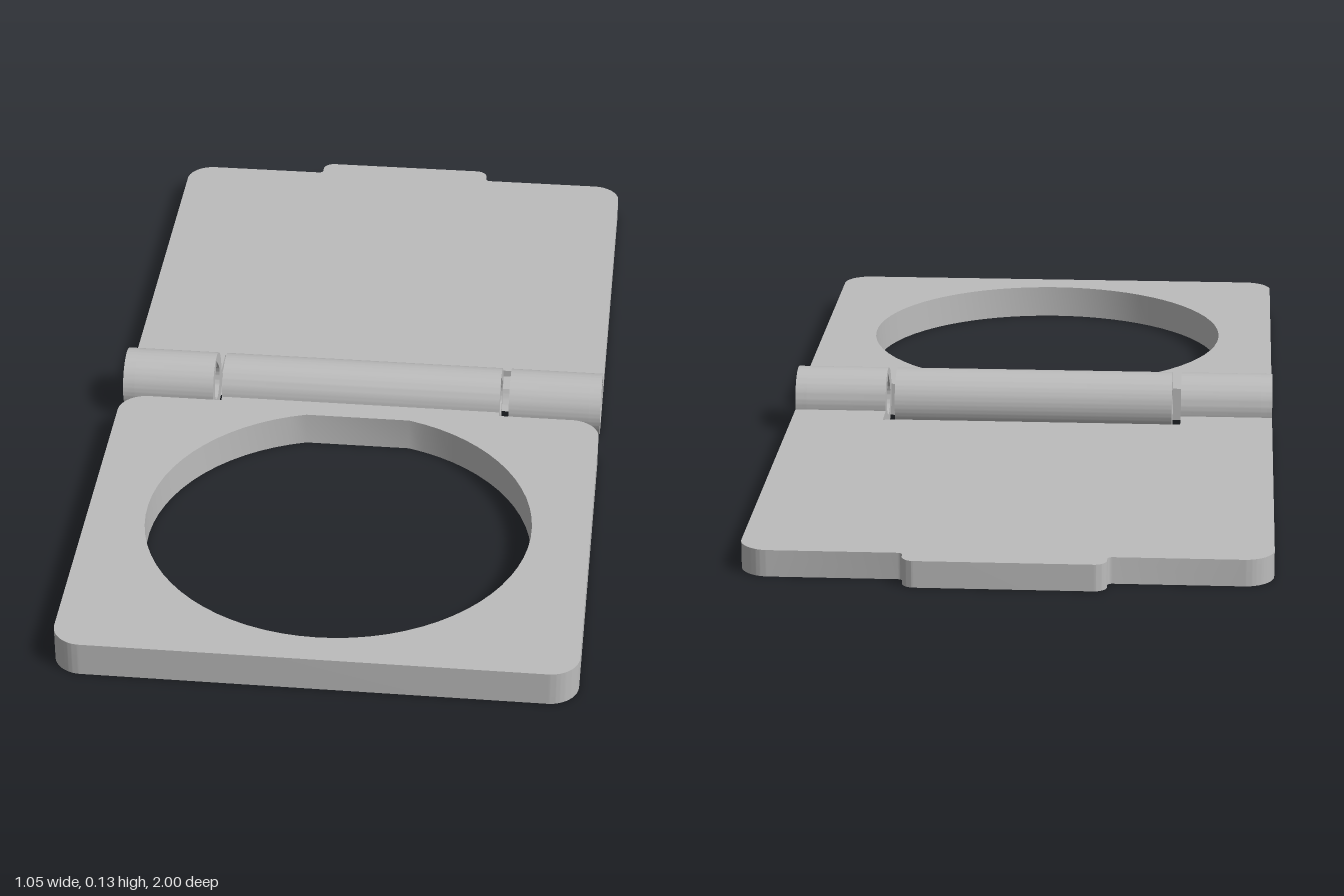
import * as THREE from 'three';
import { toCreasedNormals } from 'three/addons/utils/BufferGeometryUtils.js';

const AXIS_Z = 0.02, R = 0.0665;          // hinge axis (also its height) and barrel radius
const FRONT_H = 0.073, BACK_H = 0.055;    // plate thicknesses
const HALF_W = 0.525, SEAM_Z = 0.11;      // plate half width, rear plate's start behind the barrel

// Closed outline from corners [x, y, radius]
function roundedShape(corners) {
  const shape = new THREE.Shape();
  const n = corners.length;
  corners.forEach(([x, y, r = 0], i) => {
    const c = new THREE.Vector2(x, y);
    const toward = (q) => new THREE.Vector2(q[0], q[1]).sub(c).setLength(r).add(c);
    const a = r ? toward(corners[(i + n - 1) % n]) : c;
    const b = r ? toward(corners[(i + 1) % n]) : c;
    if (i === 0) shape.moveTo(a.x, a.y); else shape.lineTo(a.x, a.y);
    if (r) {
      const k = 0.5523, p = a.clone().lerp(c, k), q = b.clone().lerp(c, k);
      shape.bezierCurveTo(p.x, p.y, q.x, q.y, b.x, b.y);
    }
  });
  shape.closePath();
  return shape;
}

// Barrel profile with a web reaching out to the plate; side -1 = front, +1 = back
function knuckleShape(side, reach, height, hole) {
  const pts = [[reach, 0], [0, 0]];
  const end = Math.PI - Math.asin((height - R) / R);
  for (let i = 1; i <= 64; i++) {
    const a = -Math.PI / 2 + (end + Math.PI / 2) * i / 64;
    pts.push([-R * Math.cos(a), R + R * Math.sin(a)]);
  }
  pts.push([reach, height]);
  const shape = new THREE.Shape(pts.map(([u, y]) => new THREE.Vector2(-AXIS_Z + side * u, y)));
  shape.holes.push(hole);
  return shape;
}

// Pin bore with a pointed roof
function teardropHole(r) {
  const path = new THREE.Path();
  path.absarc(-AXIS_Z, R, r, Math.PI * 0.75, Math.PI * 2.25, false);
  path.lineTo(-AXIS_Z, R + r * Math.SQRT2);
  path.closePath();
  return path;
}

function roundHole(r) {
  const path = new THREE.Path();
  path.absarc(-AXIS_Z, R, r, 0, Math.PI * 2, false);
  return path;
}

export function createModel() {
  const model = new THREE.Group();
  model.name = 'hingedPlates';
  const grey = new THREE.MeshStandardMaterial({ color: 0xbcbcbc });
  grey.name = 'grey';

  const extrude = (shape, depth) =>
    new THREE.ExtrudeGeometry(shape, { depth, bevelEnabled: false, curveSegments: 32 });
  const add = (name, geo, parent) => {
    const mesh = new THREE.Mesh(toCreasedNormals(geo, 0.4), grey);
    mesh.name = name;
    parent.add(mesh);
  };
  // Outline (x, -z) raised from the ground
  const plate = (name, shape, height, parent) =>
    add(name, extrude(shape, height).rotateX(-Math.PI / 2), parent);
  // Profile (-z, y) swept along x
  const sweep = (name, shape, x0, x1, parent) =>
    add(name, extrude(shape, x1 - x0).rotateY(Math.PI / 2).translate(x0, 0, 0), parent);

  const front = new THREE.Group();
  front.name = 'frontLeaf';
  const back = new THREE.Group();
  back.name = 'rearLeaf';
  model.add(front, back);

  // Front plate with a large round opening, cut flat next to the hinge
  const frame = roundedShape([
    [-HALF_W, -1, 0.06], [HALF_W, -1, 0.06], [HALF_W, -0.1, 0.06], [-HALF_W, -0.1, 0.06],
  ]);
  const opening = new THREE.Path();
  const flat = Math.asin(0.387 / 0.403);
  opening.absarc(0, -0.525, 0.403, Math.PI - flat, Math.PI * 2 + flat, false);
  opening.closePath();
  frame.holes.push(opening);
  plate('framePlate', frame, FRONT_H, front);

  // Middle knuckle
  sweep('middleKnuckle', knuckleShape(-1, 0.08, FRONT_H, teardropHole(0.0385)), -0.305, 0.305, front);

  // Rear plate with a finger tab
  const e = 0.955;
  plate('lidPlate', roundedShape([
    [-HALF_W, SEAM_Z], [HALF_W, SEAM_Z], [HALF_W, e, 0.06], [0.2, e, 0.01], [0.2, 1, 0.025],
    [-0.2, 1, 0.025], [-0.2, e, 0.01], [-HALF_W, e, 0.06],
  ]), BACK_H, back);

  // Lowered shelf, hollowed to clear the middle knuckle
  const shelfH = 0.04, clear = 0.083;
  const shelf = [[SEAM_Z, shelfH], [SEAM_Z, 0]];
  const a0 = Math.asin(-R / clear), a1 = Math.asin((shelfH - R) / clear);
  for (let i = 0; i <= 12; i++) {
    const a = a0 + (a1 - a0) * i / 12;
    shelf.push([-AXIS_Z + clear * Math.cos(a), R + clear * Math.sin(a)]);
  }
  sweep('clearanceShelf', new THREE.Shape(shelf.map((p) => new THREE.Vector2(...p))), -0.325, 0.325, back);

  // Outer knuckles, each with a counterbored end
  const reach = SEAM_Z + AXIS_Z;
  const bore = knuckleShape(1, reach, BACK_H, teardropHole(0.0385));
  const rim = knuckleShape(1, reach, BACK_H, roundHole(0.054));
  sweep('leftKnuckle', bore, 0.325, 0.5, back);
  sweep('leftKnuckleRim', rim, 0.5, HALF_W, back);
  sweep('rightKnuckle', bore, -0.5, -0.325, back);
  sweep('rightKnuckleRim', rim, -HALF_W, -0.5, back);

  return model;
}
